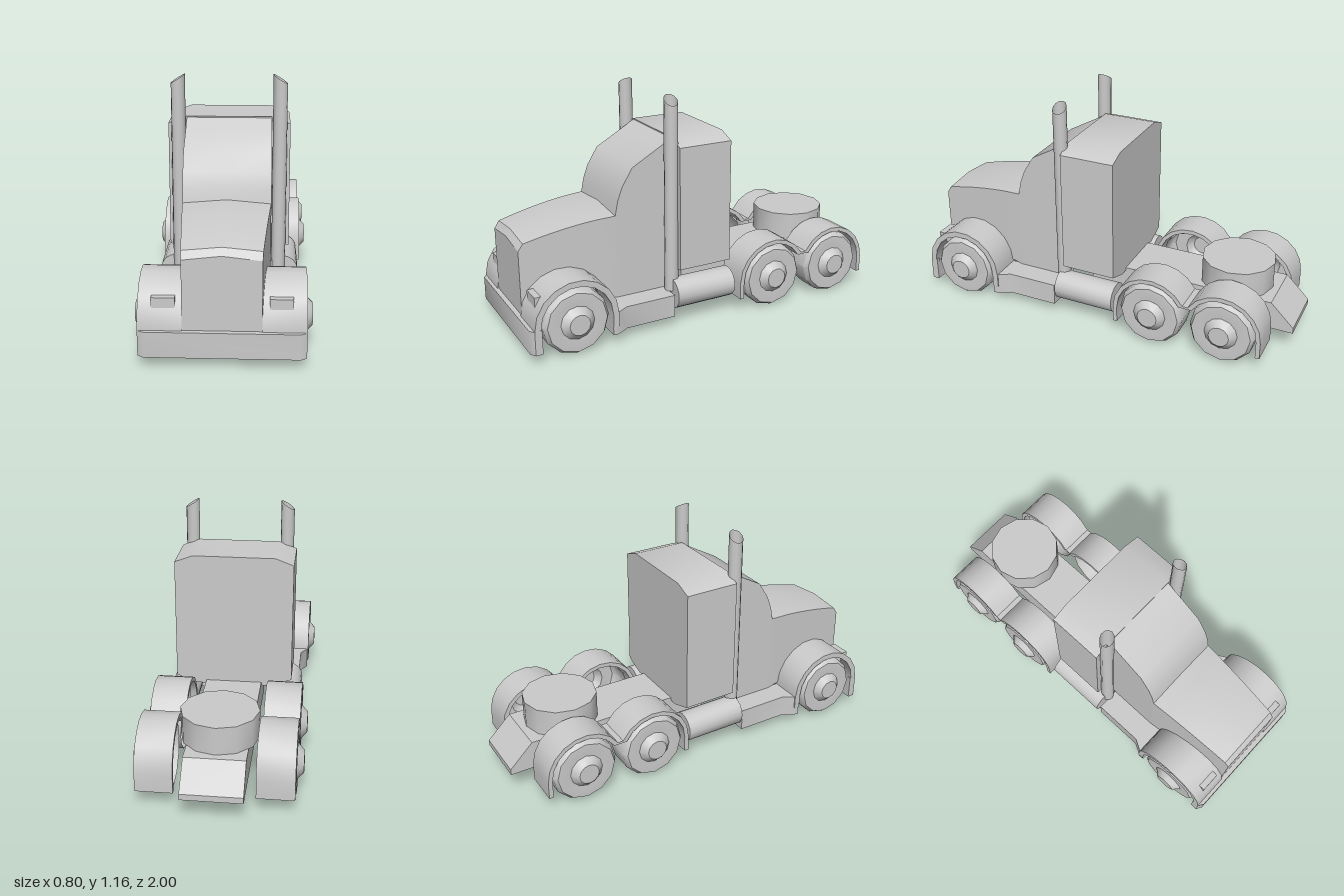
import * as THREE from 'three';
import { toCreasedNormals } from 'three/addons/utils/BufferGeometryUtils.js';

const material = new THREE.MeshStandardMaterial({ color: 0xcccccc, side: THREE.DoubleSide });
const WHEEL_Y = 0.168;

function part(name, geometry, parent) {
  const mesh = new THREE.Mesh(toCreasedNormals(geometry, 0.6), material);
  mesh.name = name;
  parent.add(mesh);
  return mesh;
}

function extrude(points, depth) {
  const shape = new THREE.Shape(points.map(([a, b]) => new THREE.Vector2(a, b)));
  return new THREE.ExtrudeGeometry(shape, { depth, bevelEnabled: false });
}

// Side outline in (z, y), filling x0..x1
const sideExtrude = (points, x0, x1) =>
  extrude(points, x1 - x0).rotateY(-Math.PI / 2).translate(x1, 0, 0);

// Plan outline in (x, z), filling y0..y1
const planExtrude = (points, y0, y1) =>
  extrude(points, y1 - y0).rotateX(Math.PI / 2).translate(0, y1, 0);

// Points of an arc round a wheel centre, as (z, y), angles in degrees
function arc(z, r, from, to, steps) {
  return Array.from({ length: steps + 1 }, (_, i) => {
    const a = THREE.MathUtils.degToRad(from + (to - from) * i / steps);
    return [z + r * Math.cos(a), WHEEL_Y + r * Math.sin(a)];
  });
}

// Hood and windshield: open-bottomed loft through sections along z
function cabGeometry() {
  const archBottom = z => {
    const d = 0.182 ** 2 - (z - 0.77) ** 2;
    return d > 0 ? WHEEL_Y + Math.sqrt(d) : 0.17;
  };
  // z, half width, side height, centre height
  const sections = [[0.975, 0.175, 0.495, 0.515], [0.951, 0.177, 0.53, 0.547]];
  for (const z of [0.93, 0.9, 0.86, 0.815, 0.77, 0.725, 0.68, 0.64, 0.61, 0.589]) {
    const t = (0.951 - z) / 0.456;
    const rise = 0.068 * t + 0.05 * t * (1 - t);
    sections.push([z, 0.177 + 0.033 * t, 0.53 + rise, 0.547 + rise]);
  }
  sections.push([0.495, 0.21, 0.597, 0.615], [0.48, 0.21, 0.67, 0.673], [0.455, 0.21, 0.737, 0.737],
    [0.4, 0.21, 0.825, 0.825], [0.24, 0.21, 0.915, 0.915], [0.18, 0.21, 0.95, 0.95]);
  const positions = [], index = [];
  sections.forEach(([z, w, side, peak], i) => {
    const b = archBottom(z);
    positions.push(w, b, z, w, side, z, 0, peak, z, -w, side, z, -w, b, z);
    if (i === 0) return;
    for (let j = 0; j < 4; j++) {
      const a = (i - 1) * 5 + j, d = a + 5;
      index.push(a, d, a + 1, a + 1, d, d + 1);
    }
  });
  index.push(0, 1, 2, 0, 2, 3, 0, 3, 4); // grille
  const g = new THREE.BufferGeometry();
  g.setAttribute('position', new THREE.Float32BufferAttribute(positions, 3));
  g.setIndex(index);
  return g;
}

// Hollow wheel with a tapered hub, open on its inner side
function wheelGeometry() {
  const profile = [[0.167, 0.22], [0.167, 0.345], [0.151, 0.369], [0.128, 0.37],
    [0.085, 0.368], [0.052, 0.4], [0.0001, 0.4]].map(([r, x]) => new THREE.Vector2(r, x));
  return new THREE.LatheGeometry(profile, 12).rotateZ(-Math.PI / 2);
}

// Exhaust pipe with a top cut on a slant
function stackGeometry() {
  const g = new THREE.CylinderGeometry(0.035, 0.035, 1, 12, 1, true);
  const p = g.attributes.position;
  for (let i = 0; i < p.count; i++) {
    p.setY(i, p.getY(i) > 0 ? 1.142 - p.getX(i) * 0.64 : 0.17);
  }
  return g.translate(0.25, 0, 0.212);
}

// Everything that appears on both sides, built for +x
function buildSide() {
  const side = new THREE.Group();
  for (const [name, z] of [['frontWheel', 0.77], ['middleWheel', -0.325], ['rearWheel', -0.7]]) {
    part(name, wheelGeometry(), side).position.set(0, WHEEL_Y, z);
  }

  part('frontFender', sideExtrude([
    [0.978, 0.05], ...arc(0.77, 0.212, 0, 180, 9), [0.558, 0.1],
    [0.588, 0.1], ...arc(0.77, 0.182, 180, 0, 9), [0.946, 0.05],
  ], 0.175, 0.37), side);

  part('rearFender', sideExtrude([
    [-0.125, 0.08], ...arc(-0.325, 0.2, 0, 150, 8), ...arc(-0.7, 0.2, 30, 180, 8), [-0.9, 0.08],
    [-0.878, 0.08], ...arc(-0.7, 0.178, 180, 30, 8), ...arc(-0.325, 0.178, 150, 0, 8), [-0.147, 0.08],
  ], 0.19, 0.368), side);

  part('step', planExtrude([
    [0.2, 0.235], [0.33, 0.235], [0.33, 0.5], [0.365, 0.56], [0.365, 0.588], [0.2, 0.588],
  ], 0.055, 0.17), side);

  const tank = new THREE.CylinderGeometry(0.078, 0.078, 0.325, 16);
  part('fuelTank', tank.rotateX(Math.PI / 2).translate(0.272, 0.157, 0.06), side);

  part('exhaustStack', stackGeometry(), side);
  part('headlight', new THREE.BoxGeometry(0.104, 0.048, 0.08).translate(0.258, 0.288, 0.915), side);

  // Frame rail with a sloped tail
  part('frameRail', sideExtrude([
    [0.1, 0.115], [0.1, 0.262], [-0.88, 0.262], [-1, 0.145], [-1, 0.115],
  ], 0.115, 0.145), side);
  return side;
}

export function createModel() {
  const truck = new THREE.Group();
  truck.name = 'truck';

  part('cab', cabGeometry(), truck);

  // Sleeper with sloped roof edges and underside
  const half = [[0.19, 0.245], [0.302, 0.285], [0.302, 0.915], [0.21, 0.95]];
  const outline = [...half, ...half.map(([x, y]) => [-x, y]).reverse()];
  part('sleeper', extrude(outline, 0.285).translate(0, 0, -0.095), truck);

  // Bumper with corners wrapped back
  part('bumper', planExtrude([
    [0.37, 0.946], [0.37, 0.982], [0.342, 1], [-0.342, 1], [-0.37, 0.982], [-0.37, 0.946],
    [-0.35, 0.946], [-0.35, 0.972], [0.35, 0.972], [0.35, 0.946],
  ], 0.05, 0.17), truck);

  // Top plate of the frame, following the tail slope
  part('frameDeck', sideExtrude([
    [0.1, 0.235], [0.1, 0.262], [-0.88, 0.262], [-1, 0.145], [-1, 0.115], [-0.875, 0.235],
  ], -0.116, 0.116), truck);

  const plate = new THREE.CylinderGeometry(0.187, 0.187, 0.14, 12);
  part('couplingPlate', plate.translate(0, 0.33, -0.66), truck);

  const left = buildSide();
  left.name = 'leftSide';
  const right = buildSide();
  right.name = 'rightSide';
  right.scale.x = -1;
  truck.add(left, right);
  return truck;
}
